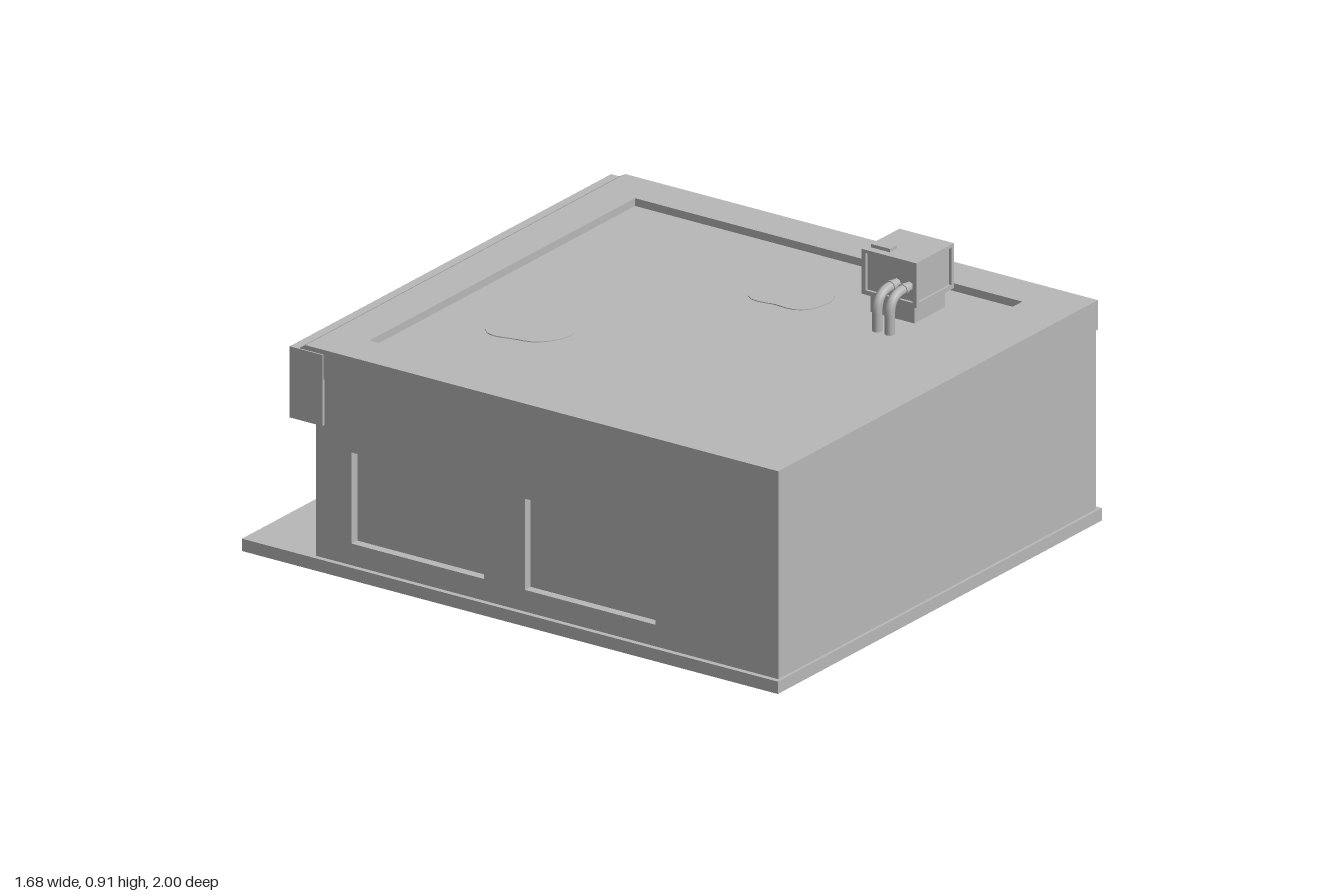
import * as THREE from 'three';

const grey = new THREE.MeshStandardMaterial({ color: 0xb8b8b8 });
grey.name = 'plain grey';

// Rectangle outline, used for shapes and for holes
function rect(Type, x0, x1, y0, y1) {
  const s = new Type();
  s.moveTo(x0, y0);
  s.lineTo(x1, y0);
  s.lineTo(x1, y1);
  s.lineTo(x0, y1);
  s.closePath();
  return s;
}

// Flat panel with rectangular holes; its face lies on z = 0 and it goes back by depth
function panel(outer, holes, depth) {
  const s = rect(THREE.Shape, ...outer);
  holes.forEach((h) => s.holes.push(rect(THREE.Path, ...h)));
  return new THREE.ExtrudeGeometry(s, { depth, bevelEnabled: false }).translate(0, 0, -depth);
}

function add(parent, name, geometry, x = 0, y = 0, z = 0, turn = 0) {
  const m = new THREE.Mesh(geometry, grey);
  m.name = name;
  m.position.set(x, y, z);
  m.rotation.y = turn;
  parent.add(m);
  return m;
}

// Box given by its limits
function box(parent, name, x0, x1, y0, y1, z0, z1) {
  return add(parent, name, new THREE.BoxGeometry(x1 - x0, y1 - y0, z1 - z0),
    (x0 + x1) / 2, (y0 + y1) / 2, (z0 + z1) / 2);
}

export function createModel() {
  const shop = new THREE.Group();
  shop.name = 'shop';
  const D = 0.03;
  const X = 0.825, FRONT = 0.985, BACK = -0.71;

  // Ground slab and doorstep
  box(shop, 'groundSlab', -0.842, 0.842, 0, 0.04, -0.97, 0.995);
  box(shop, 'doorstep', -0.19, 0.19, 0, 0.02, -1, -0.97);

  // Inner core, seen as window panes, door and sunken roof
  box(shop, 'core', -X + D, X - D, 0.04, 0.69, BACK + D, FRONT);

  // Side walls with two windows each
  for (const s of [1, -1]) {
    const holes = [[-0.535, -0.055], [0.095, 0.58]]
      .map(([a, b]) => (s > 0 ? [a, b] : [-b, -a]))
      .map(([a, b]) => [a, b, 0.11, 0.405]);
    const span = s > 0 ? [-FRONT, -BACK] : [BACK, FRONT];
    add(shop, 'sideWall', panel([...span, 0.04, 0.69], holes, D), s * X, 0, 0, s * Math.PI / 2);
  }

  // Shop front with a door opening between two windows
  const shopFront = new THREE.Group();
  shopFront.name = 'shopFront';
  shopFront.position.z = BACK;
  shopFront.rotation.y = Math.PI;
  shop.add(shopFront);
  for (const s of [1, -1]) {
    const span = (a, b) => (s > 0 ? [a, b] : [-b, -a]);
    add(shopFront, 'shopFrontWall',
      panel([...span(0.195, X - D), 0.04, 0.47], [[...span(0.255, 0.75), 0.11, 0.43]], D));
  }

  // Overhanging fascia and framed sign board
  box(shop, 'fascia', -0.835, 0.835, 0.47, 0.7, -0.8, BACK + D);
  add(shop, 'signFrame',
    panel([-0.305, 0.305, 0.515, 0.655], [[-0.29, 0.29, 0.53, 0.64]], 0.01),
    0, 0, -0.808, Math.PI);

  // Parapet ring around the sunken roof, and a sloped trim above the fascia
  const cap = panel([-0.83, 0.83, -0.988, 0.745], [[-0.69, 0.69, -0.81, 0.61]], 0.095);
  add(shop, 'parapet', cap.rotateX(-Math.PI / 2), 0, 0.715, 0);
  const trim = new THREE.Shape([[0.745, 0.69], [0.77, 0.69], [0.765, 0.703], [0.745, 0.715]]
    .map(([a, b]) => new THREE.Vector2(a, b)));
  add(shop, 'parapetTrim',
    new THREE.ExtrudeGeometry(trim, { depth: 1.66, bevelEnabled: false })
      .rotateY(Math.PI / 2).translate(-0.83, 0, 0));

  // Thin uneven puddles on the roof
  [[-0.27, -0.31, 0.4], [0.4, 0.18, 1.3]].forEach(([x, z, phase]) => {
    const pts = [];
    for (let i = 0; i < 32; i++) {
      const a = (i / 32) * Math.PI * 2;
      const r = 0.127 + 0.012 * Math.sin(3 * a + phase) + 0.006 * Math.cos(5 * a);
      pts.push(new THREE.Vector2(r * Math.cos(a), r * Math.sin(a)));
    }
    const g = new THREE.ExtrudeGeometry(new THREE.Shape(pts), { depth: 0.003, bevelEnabled: false });
    add(shop, 'puddle', g.rotateX(-Math.PI / 2), x, 0.69, z);
  });

  // Air conditioner with framed sides, foot and lid
  const unit = new THREE.Group();
  unit.name = 'airConditioner';
  unit.position.set(0.492, 0, 0.53);
  shop.add(unit);
  box(unit, 'foot', -0.08, 0.08, 0.69, 0.75, -0.08, 0.08);
  box(unit, 'housing', -0.089, 0.089, 0.75, 0.892, -0.092, 0.092);
  box(unit, 'roofPlate', -0.098, 0.098, 0.885, 0.895, -0.1, 0.1);
  box(unit, 'lid', -0.072, -0.036, 0.895, 0.906, -0.085, -0.015);
  for (let i = 0; i < 4; i++) {
    const w = i % 2 ? 0.1 : 0.098;
    const d = i % 2 ? 0.098 : 0.1;
    const a = (i * Math.PI) / 2;
    add(unit, 'sideFrame',
      panel([-w, w, 0.75, 0.895], [[-w + 0.014, w - 0.014, 0.764, 0.885]], 0.009),
      Math.sin(a) * d, 0, Math.cos(a) * d, a);
  }

  // Two bent pipes running from the unit down to the roof
  const path = new THREE.CurvePath();
  const v = (x, y) => new THREE.Vector3(x, y, 0);
  path.add(new THREE.LineCurve3(v(0.41, 0.81), v(0.365, 0.81)));
  path.add(new THREE.QuadraticBezierCurve3(v(0.365, 0.81), v(0.302, 0.81), v(0.302, 0.75)));
  path.add(new THREE.LineCurve3(v(0.302, 0.75), v(0.302, 0.685)));
  for (const z of [0.552, 0.598]) {
    add(shop, 'pipe', new THREE.TubeGeometry(path, 20, 0.016, 8), 0, 0, z);
    add(shop, 'pipeCollar',
      new THREE.CylinderGeometry(0.019, 0.019, 0.012, 8).rotateZ(Math.PI / 2), 0.374, 0.81, z);
  }
  return shop;
}
